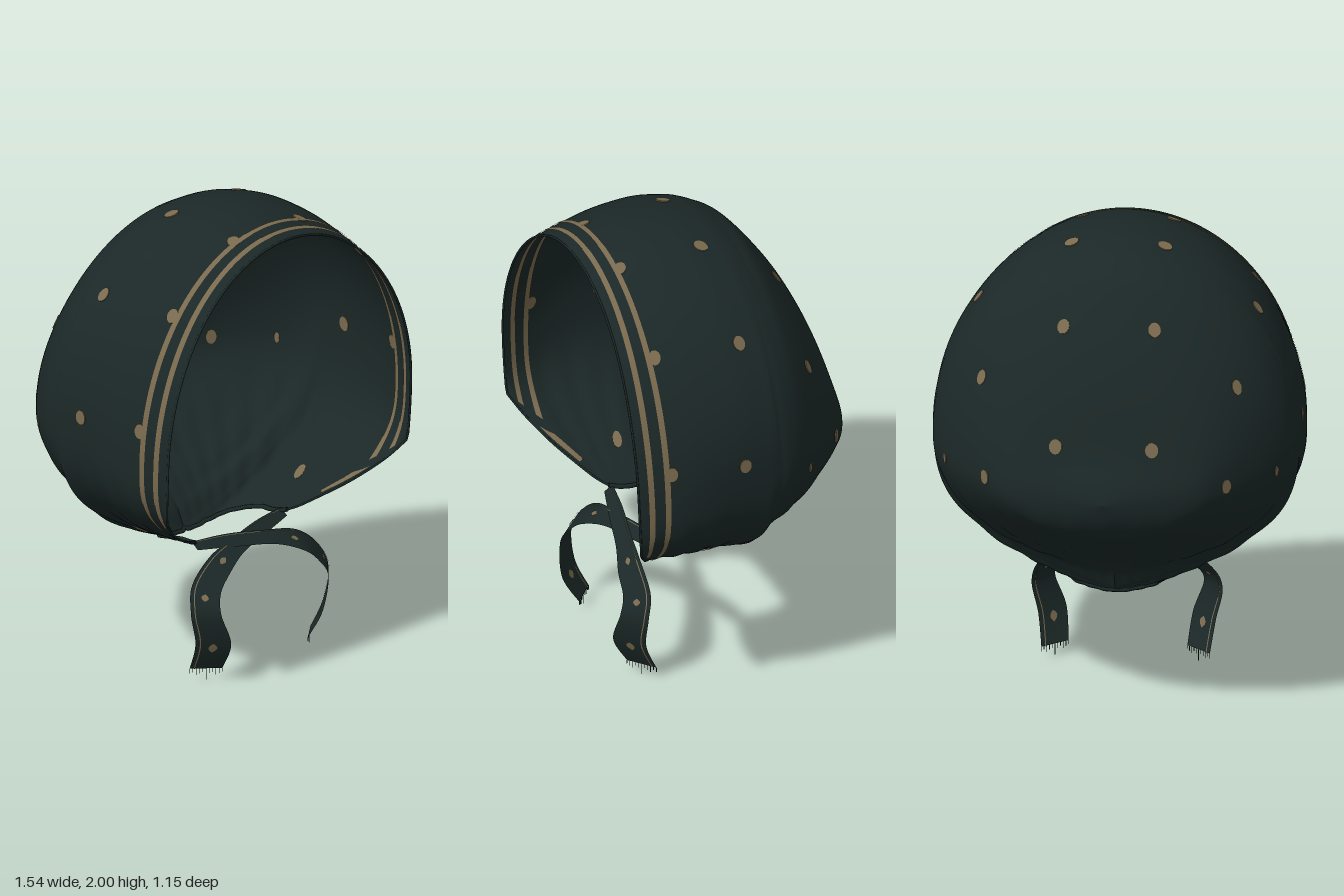
import * as THREE from 'three';
import { ParametricGeometry } from 'three/addons/geometries/ParametricGeometry.js';

const { lerp, smoothstep } = THREE.MathUtils;
const fabric = new THREE.MeshStandardMaterial({ color: 0x1b2827, side: THREE.DoubleSide });
fabric.name = 'darkTealCloth';
const gold = new THREE.MeshStandardMaterial({ color: 0x7a6a4e, side: THREE.DoubleSide });
gold.name = 'dullGold';

// Hood sections from front rim to back: z, top y, half width, y of widest point, lower end x, lower end y
const SECTIONS = [
  [0.555, 1.93, 0.705, 1.1, 0.7, 0.85],
  [0.5, 1.95, 0.725, 1.08, 0.61, 0.765],
  [0.4, 1.975, 0.75, 1.09, 0.44, 0.66],
  [0.28, 1.995, 0.762, 1.13, 0.27, 0.575],
  [0.12, 1.995, 0.765, 1.19, 0.25, 0.55],
  [0, 1.972, 0.765, 1.18, 0.2, 0.51],
  [-0.035, 1.961, 0.763, 1.18, 0.13, 0.485],
  [-0.055, 1.953, 0.76, 1.17, 0, 0.47],
  [-0.1, 1.93, 0.755, 1.15, 0, 0.56],
  [-0.17, 1.885, 0.725, 1.13, 0, 0.64],
  [-0.26, 1.775, 0.66, 1.11, 0, 0.7],
  [-0.35, 1.635, 0.575, 1.1, 0, 0.765],
  [-0.43, 1.46, 0.485, 1.08, 0, 0.82],
  [-0.5, 1.235, 0.37, 1.06, 0, 0.875],
  [-0.55, 1.12, 0.16, 1.05, 0, 0.95],
  [-0.575, 1.04, 0, 1.04, 0, 1.04],
];
const LAST = SECTIONS.length - 1;
const NECK = 3; // section where the rim meets the neck edge
const NAPE = 7; // section where the neck edge closes at the back

// Smooth interpolation of any table of rows
function rowAt(table, s) {
  const n = table.length - 1;
  const i = Math.min(Math.floor(s), n - 1), t = s - i;
  const row = (k) => table[Math.max(0, Math.min(n, k))];
  return row(i).map((b, c) => {
    const a = row(i - 1)[c], d = row(i + 1)[c], e = row(i + 2)[c];
    return b + 0.5 * t * (d - a + t * (2 * a - 5 * b + 4 * d - e + t * (3 * (b - d) + e - a)));
  });
}

// Point on the hood: s runs front to back, a from -1 (right end) over the top to 1 (left end)
function hoodPoint(s, a, target) {
  const [z0, top, w, yw, ex0, ey] = rowAt(SECTIONS, s);
  const W = Math.max(0, w), ex = Math.max(0, ex0);
  const phi = Math.abs(a) * Math.PI;
  let x, y;
  if (phi <= Math.PI / 2) {
    x = W * Math.sin(phi);
    y = yw + (top - yw) * Math.cos(phi);
  } else {
    // cheeks are full then cut in sharply; the back is rounder
    const psi = phi - Math.PI / 2;
    const cheek = smoothstep(z0, -0.15, 0);
    const drop = lerp(Math.sin(psi), (psi * 2) / Math.PI, cheek);
    x = ex + (W - ex) * lerp(Math.cos(psi), 1 - drop ** 3, cheek);
    y = yw - (yw - ey) * drop;
  }
  // front edge bows forward at mid height
  const bow = Math.sin(Math.PI * THREE.MathUtils.clamp((y - 0.85) / 1.08, 0, 1));
  const z = z0 + 0.018 * smoothstep(z0, 0.4, 0.56) * bow;
  // gathers fanning out of the neck
  const f = 1 - smoothstep(y, 0.58, 1.05);
  const g = 1 + 0.012 * f * Math.cos(36 * Math.atan2(x, z - 0.25));
  return target.set(Math.sign(a) * x * g, y, 0.2 + (z - 0.2) * g);
}

// Section parameter for a given z
function sectionAt(z) {
  let lo = 0, hi = LAST;
  for (let i = 0; i < 30; i++) {
    const mid = (lo + hi) / 2;
    if (rowAt(SECTIONS, mid)[0] > z) lo = mid; else hi = mid;
  }
  return lo;
}

// Point at distance d inside the rim, following it from neck to neck (t from -1 to 1)
function rimPoint(d, t, target) {
  const m = Math.abs(t), s0 = sectionAt(SECTIONS[0][0] - d);
  const s = m < 0.7 ? s0 : lerp(s0, NECK, (m - 0.7) / 0.3);
  const [, , w, yw, ex, ey] = rowAt(SECTIONS, s);
  const end = 1 - d / Math.hypot(6 * (w - ex), 2 * (yw - ey));
  const a = m < 0.7 ? (m / 0.7) * end : end;
  return hoodPoint(s, t < 0 ? -a : a, target);
}

function surface(name, fn, nu, nv, material) {
  const geometry = new ParametricGeometry(fn, nu, nv);
  geometry.computeVertexNormals();
  const mesh = new THREE.Mesh(geometry, material);
  mesh.name = name;
  return mesh;
}

// Thin gold band along the rim, on both faces of the cloth
function rimBand(name, d, width, t0, t1, segments) {
  const group = new THREE.Group();
  group.name = name;
  const radial = new THREE.Vector3();
  for (const lift of [0.004, -0.004]) {
    group.add(surface('bandFace', (u, v, p) => {
      rimPoint(d + v * width, lerp(t0, t1, u), p);
      radial.set(p.x, p.y - 1.15, 0).normalize();
      p.addScaledVector(radial, lift);
    }, segments, 2, gold));
  }
  return group;
}

function tube(name, points, radius, material) {
  const curve = new THREE.CatmullRomCurve3(points);
  const mesh = new THREE.Mesh(new THREE.TubeGeometry(curve, 120, radius, 6), material);
  mesh.name = name;
  return mesh;
}

// Tie ribbon rows: centre x, y, z, then half-width vector x, y, z
const TIE = [
  [-0.27, 0.56, 0.27, 0, 0.014, -0.018],
  [-0.1, 0.55, 0.31, 0, 0.02, -0.03],
  [0.08, 0.528, 0.355, 0, 0.022, -0.034],
  [0.22, 0.488, 0.39, 0.018, 0.03, -0.042],
  [0.32, 0.41, 0.405, 0.04, 0.016, -0.045],
  [0.355, 0.32, 0.435, 0.044, 0, -0.045],
  [0.318, 0.18, 0.44, 0.053, 0, -0.052],
  [0.3, 0.05, 0.378, 0.052, 0, -0.044],
];

function makeTie(name, side, shift) {
  const group = new THREE.Group();
  group.name = name;
  const at = (u, k, lift, target) => {
    const r = rowAt(TIE, u * (TIE.length - 1));
    const z = r[2] + shift * (1 - smoothstep(u, 0.4, 0.7));
    return target.set(side * (r[0] + k * r[3] + lift), r[1] + k * r[4] + lift, z + k * r[5] + lift);
  };
  group.add(surface('tieRibbon', (u, v, p) => at(u, v * 2 - 1, 0, p), 60, 6, fabric));
  for (const lift of [0.003, -0.003]) {
    group.add(surface('tieStripe', (u, v, p) => at(u, 0.68 + v * 0.07, lift, p), 60, 1, gold));
    // small motifs, diamond shaped
    for (const c of [0.4, 0.62, 0.88]) {
      group.add(surface('tieMotif', (u, v, p) =>
        at(c + (u - 0.5) * 0.045, (v - 0.5) * 0.5 * Math.sin(Math.PI * u), lift, p), 6, 2, gold));
    }
  }
  // frayed threads at the ribbon end
  for (let i = 0; i <= 10; i++) {
    const p = at(1, i / 5 - 1, 0, new THREE.Vector3());
    const length = i === 5 ? 0.05 : 0.016 + 0.006 * (i % 3);
    const thread = new THREE.Mesh(new THREE.CylinderGeometry(0.0015, 0.0015, length, 4), fabric);
    thread.name = 'fringeThread';
    thread.position.set(p.x, p.y - length / 2, p.z);
    group.add(thread);
  }
  return group;
}

// Dot targets on the left half, mirrored to the right, with optional width and height factors
const DOTS = [
  [0.2, 1.98, 0.065, 1.05], [0.6, 1.72, 0.06], [0.76, 1.22, 0.11],
  [0.2, 1.745, -0.3], [0.54, 1.48, -0.28, 0.75], [0.68, 1.09, -0.21, 0.35, 0.8],
  [0.2, 1.26, -0.48, 0.95], [0.49, 1.09, -0.4, 0.75],
  [0.19, 1.93, 0.427], [0.55, 1.71, 0.432], [0.75, 1.24, 0.438],
  [0.5, 0.61, 0.16, 0.65, 1.4],
];

export function createModel() {
  const model = new THREE.Group();
  model.name = 'bonnet';

  // gathered cloth hood
  const hood = surface('hood', (u, v, p) => hoodPoint(v * LAST, u * 2 - 1, p), 220, 120, fabric);
  model.add(hood);

  // twin stripes round the rim and a broad streak under each cheek
  for (const d of [0.037, 0.097]) model.add(rimBand('rimStripe', d, 0.021, -0.7, 0.7, 240));
  for (const side of [1, -1]) model.add(rimBand('cheekStreak', 0.03, 0.055, side * 0.8, side * 0.92, 16));

  // printed dots, slightly taller than wide
  const ray = new THREE.Raycaster();
  const centre = new THREE.Vector3(0, 1.2, 0.1);
  const disc = new THREE.CylinderGeometry(0.029, 0.029, 0.007, 14).rotateX(Math.PI / 2);
  for (const [x, y, z, width = 0.9, height = 1.1] of DOTS) {
    for (const side of [1, -1]) {
      ray.set(centre, new THREE.Vector3(side * x, y, z).sub(centre).normalize());
      const hit = ray.intersectObject(hood)[0];
      if (!hit) continue;
      const dot = new THREE.Mesh(disc, gold);
      dot.name = 'dot';
      dot.position.copy(hit.point);
      dot.lookAt(hit.point.clone().add(hit.face.normal));
      dot.scale.set(width, height, 1);
      model.add(dot);
    }
  }

  // rolled hem on the rim and drawstring casing round the neck
  const rim = [], neck = [];
  for (let i = 0; i <= 80; i++) rim.push(rimPoint(0, i / 40 - 1, new THREE.Vector3()));
  for (let i = 0; i <= 40; i++) {
    const t = i / 20 - 1;
    neck.push(hoodPoint(lerp(NAPE, NECK, Math.abs(t)), t < 0 ? -1 : 1, new THREE.Vector3()));
  }
  model.add(tube('rimHem', rim, 0.005, fabric), tube('neckCasing', neck, 0.01, fabric));

  // crossed ties
  model.add(makeTie('leftTie', 1, 0.01), makeTie('rightTie', -1, -0.012));
  return model;
}
